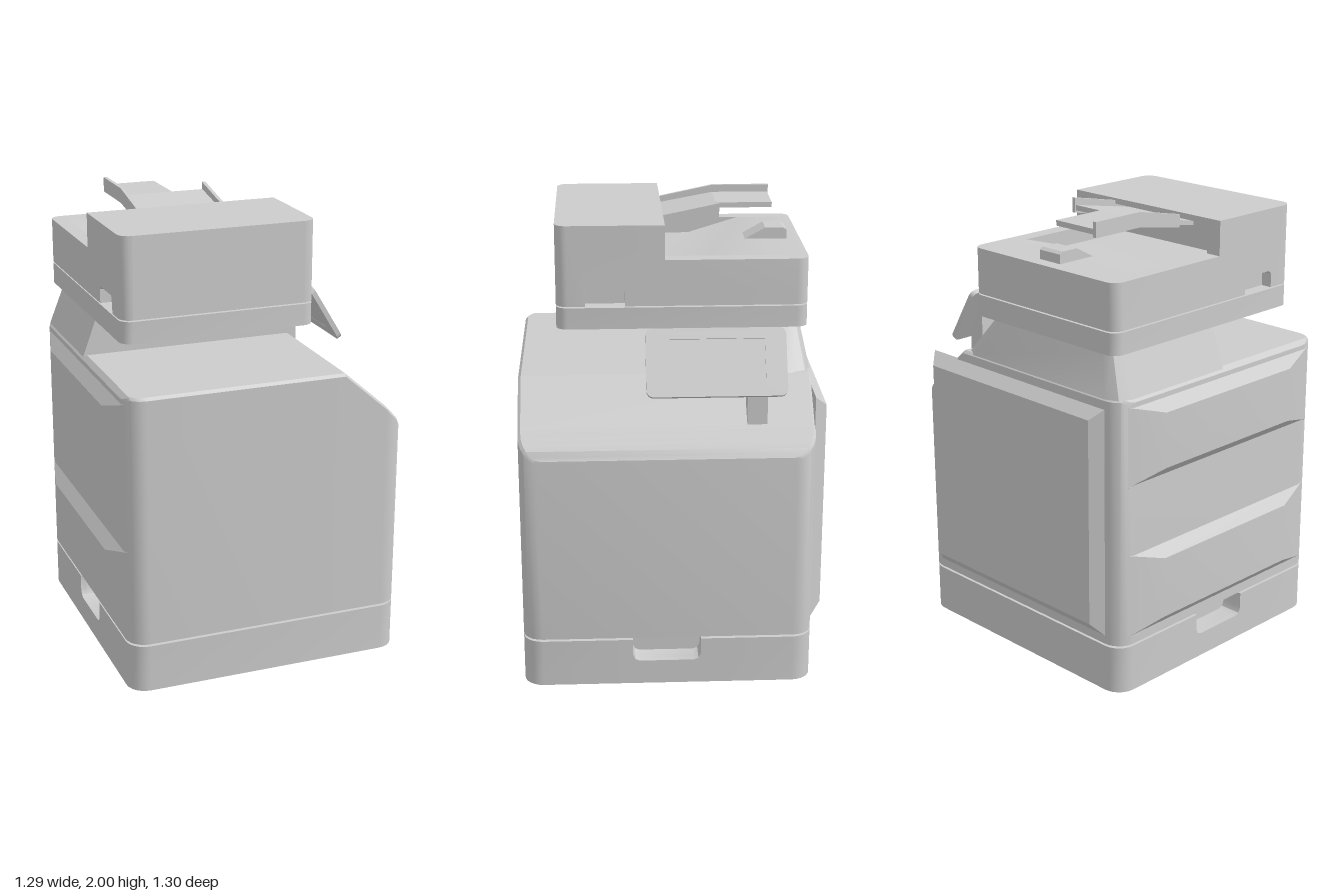
import * as THREE from 'three';
import { toCreasedNormals } from 'three/addons/utils/BufferGeometryUtils.js';

const material = new THREE.MeshStandardMaterial({ color: 0xcccccc, side: THREE.DoubleSide });

function addMesh(parent, name, geometry) {
  const mesh = new THREE.Mesh(geometry, material);
  mesh.name = name;
  parent.add(mesh);
  return mesh;
}

// Skin through cross-sections [{ t, pts }]. Axis 'x': pts are [z, y]; 'y': [x, z]; 'z': [x, y].
function loft(axis, sections, open = false) {
  const flat = sections.map(({ t, pts }) => ({
    t,
    pts: pts.map(([a, b]) => new THREE.Vector2(axis === 'x' ? -a : a, axis === 'y' ? -b : b)),
  }));
  if (THREE.ShapeUtils.area(flat[0].pts) < 0) flat.forEach((s) => s.pts.reverse());
  const n = flat[0].pts.length, pos = [], idx = [];
  flat.forEach((s) => s.pts.forEach((p) => pos.push(p.x, p.y, s.t)));
  for (let s = 0; s < flat.length - 1; s++) {
    for (let i = 0; i < (open ? n - 1 : n); i++) {
      const a = s * n + i, b = s * n + (i + 1) % n;
      idx.push(a, b, b + n, a, b + n, a + n);
    }
  }
  const last = (flat.length - 1) * n;
  THREE.ShapeUtils.triangulateShape(flat[0].pts, []).forEach(([a, b, c]) => idx.push(a, c, b));
  THREE.ShapeUtils.triangulateShape(flat[flat.length - 1].pts, [])
    .forEach(([a, b, c]) => idx.push(last + a, last + b, last + c));
  const g = new THREE.BufferGeometry();
  g.setAttribute('position', new THREE.Float32BufferAttribute(pos, 3));
  g.setIndex(idx);
  if (axis === 'x') g.rotateY(Math.PI / 2);
  if (axis === 'y') g.rotateX(-Math.PI / 2);
  return toCreasedNormals(g, 0.5);
}

const prism = (axis, pts, t0, t1) => loft(axis, [{ t: t0, pts }, { t: t1, pts }]);

// Rectangle with rounded corners as a point list
function roundRect(x0, x1, y0, y1, r, steps = 6) {
  const pts = [];
  [[x1 - r, y1 - r], [x0 + r, y1 - r], [x0 + r, y0 + r], [x1 - r, y0 + r]].forEach(([cx, cy], q) => {
    for (let i = 0; i <= steps; i++) {
      const a = (q + i / steps) * Math.PI / 2;
      pts.push([cx + r * Math.cos(a), cy + r * Math.sin(a)]);
    }
  });
  return pts;
}

const rect = (x0, x1, y0, y1) => [[x0, y0], [x1, y0], [x1, y1], [x0, y1]];

// x positions that resolve a rounded plan corner, and the inset there
const cornerSteps = (r) => [0, 1, 2, 3, 4, 5, 6].map((i) => r * (1 - Math.cos(i * Math.PI / 12)));
const inset = (e, r) => (e >= r ? 0 : r - Math.sqrt(Math.max(0, r * r - (r - e) ** 2)));

const X0 = -0.61, X1 = 0.645, Z0 = -0.605, Z1 = 0.65, R = 0.085;

function addBase(root) {
  const base = new THREE.Group();
  base.name = 'base';
  root.add(base);
  const wall = 0.025, notch = [-0.12, 0.175], jamb = 0.02;
  // front and back halves of the open frame
  const half = (front, off) => {
    const r = R - off, zEnd = front ? notch[1] + jamb : notch[0] - jamb;
    const arc = roundRect(X0 + off, X1 - off, Z0 + off, Z1 - off, r);
    const kept = front ? arc.slice(0, 14) : arc.slice(14);
    const ends = [[X1 - off, zEnd], [X0 + off, zEnd]];
    return front ? [ends[0], ...kept, ends[1]] : [ends[1], ...kept, ends[0]];
  };
  for (const front of [true, false]) {
    addMesh(base, front ? 'frontFrame' : 'backFrame',
      prism('y', [...half(front, 0), ...half(front, wall).reverse()], 0, 0.212));
  }
  // side walls with carrying grips
  const [a, b] = notch;
  const cut = (y) => [[a - jamb, y], [b + jamb, y], [b + jamb, 0.212], [b, 0.212], [b, 0.14], [b - 0.01, 0.118],
    [b - 0.03, 0.11], [a + 0.03, 0.11], [a + 0.01, 0.118], [a, 0.14], [a, 0.212], [a - jamb, 0.212]];
  for (const [edge, s] of [[X1, -1], [X0, 1]]) {
    const span = (d0, d1) => [edge + s * d0, edge + s * d1].sort((p, q) => p - q);
    addMesh(base, 'gripWall', prism('x', cut(0), ...span(0, wall)));
    addMesh(base, 'gripPocket', prism('x', cut(0.095), ...span(wall, 0.1)));
    addMesh(base, 'gripBack', prism('x', rect(a - jamb, b + jamb, 0.095, 0.212), ...span(0.1, 0.11)));
  }
}

function addBody(root) {
  // cabinet shell: sloped shoulder on the panel side
  const shoulder = [[X0, 1.31], [X0 + 0.02, 1.33], [0.355, 1.33], [0.55, 1.16], [0.62, 1.085], [X1, 1.05]];
  const topAt = (x) => {
    const i = Math.max(1, shoulder.findIndex((p) => p[0] >= x - 1e-6));
    const [p, q] = [shoulder[i - 1], shoulder[i]];
    return p[1] + (q[1] - p[1]) * (x - p[0]) / (q[0] - p[0]);
  };
  const xs = [...cornerSteps(R).map((e) => X0 + e), X0 + 0.02, 0.355, 0.55, 0.62,
    ...cornerSteps(R).map((e) => X1 - e)].sort((p, q) => p - q);
  const sections = xs.map((x) => {
    const d = inset(Math.min(x - X0, X1 - x), R), y = topAt(x), c = 0.012;
    const f = Z1 - d, k = Z0 + d;
    return { t: x, pts: [[f, 0.222], [f, y - c], [f - c, y], [k + c, y], [k, y - c], [k, 0.222]] };
  });
  addMesh(root, 'cabinet', loft('x', sections, true));

  // neck below the scanner
  const neck = (x0, x1, zb, c) => [[x0, 0.02], [x1, 0.02], [x1, zb + c], [x1 - c * 0.3, zb + c * 0.3],
    [x1 - c, zb], [x0 + c, zb], [x0 + c * 0.3, zb + c * 0.3], [x0, zb + c]];
  addMesh(root, 'neck', loft('y', [
    { t: 1.325, pts: neck(-0.608, 0.36, -0.605, 0.08) },
    { t: 1.51, pts: neck(-0.54, 0.2, -0.57, 0.06) },
  ]));

  // raised covers on the left-hand side and the back
  for (const [y0, y1] of [[0.26, 0.64], [0.945, 1.295]]) {
    addMesh(root, 'sideCover', loft('x', [
      { t: -0.65, pts: rect(-0.37, 0.42, y0 + 0.05, y1 - 0.055) },
      { t: -0.605, pts: rect(-0.55, 0.6, y0, y1) },
    ]));
  }
  addMesh(root, 'backCover', loft('z', [
    { t: -0.653, pts: rect(-0.48, 0.51, 0.315, 1.235) },
    { t: -0.6, pts: rect(-0.53, 0.56, 0.255, 1.285) },
  ]));
}

function addScanner(root) {
  const scanner = new THREE.Group();
  scanner.name = 'scanner';
  root.add(scanner);
  const x0 = -0.575, x1 = 0.28, zb = -0.595, zf = 0.485, r = 0.05, inL = -0.505, inR = 0.21;
  addMesh(scanner, 'scannerBed', prism('y', roundRect(x0, x1, zb, zf, r), 1.51, 1.604));

  // feeder cheeks, with a lifting notch on the outer face
  const outline = [[zf, 1.61], [zf, 1.96], [0.02, 1.96], [0.02, 1.81], [zb, 1.81], [zb, 1.61]];
  const notch = [[0.19, 1.61], [0.19, 1.67], [0.205, 1.685], [0.345, 1.685], [0.36, 1.67], [0.36, 1.61]];
  const section = (x, pts) => {
    const d = inset(Math.min(x - x0, x1 - x), r);
    return { t: x, pts: pts.map(([z, y]) => [Math.min(zf - d, Math.max(zb + d, z)), y]) };
  };
  for (const [edge, s, inner] of [[x0, 1, inL], [x1, -1, inR]]) {
    const order = (list) => list.map((e) => edge + s * e).sort((p, q) => p - q);
    const outer = order(cornerSteps(r));
    addMesh(scanner, 'feederCheek', loft('x', outer.map((x) => section(x, [...outline, ...notch]))));
    const mid = [edge + s * r, inner].sort((p, q) => p - q);
    addMesh(scanner, 'feederCheekInner', prism('x', outline, ...mid));
  }
  // feeder middle: sunken output bed running into the feeder mouth
  addMesh(scanner, 'feederCentre', prism('x', [[zf, 1.61], [zf, 1.96], [0.02, 1.96], [0.02, 1.935], [0.2, 1.935],
    [0.26, 1.86], [0.26, 1.74], [-0.12, 1.74], [-0.35, 1.81], [zb, 1.81], [zb, 1.61]], inL, inR));

  // paper stop on the deck
  addMesh(scanner, 'paperStop', prism('x',
    [[-0.35, 1.81], [-0.44, 1.86], [-0.52, 1.86], [-0.535, 1.85], [-0.535, 1.81]], -0.2, -0.08));

  // input tray: sloped plate, flat extension, and side rails
  const tray = new THREE.Group();
  tray.name = 'inputTray';
  scanner.add(tray);
  const slope = [[0.12, 1.885], [0.12, 1.905], [-0.22, 1.968], [-0.22, 1.945]];
  addMesh(tray, 'slopedPlate', prism('x', slope, -0.335, 0.04));
  addMesh(tray, 'flatPlate', prism('x', rect(-0.47, -0.22, 1.945, 1.968), -0.335, -0.11));
  addMesh(tray, 'longRail', prism('x',
    [[0.02, 1.893], [0.02, 1.95], [-0.22, 2], [-0.475, 2], [-0.475, 1.935], [-0.22, 1.935]], -0.348, -0.332));
  addMesh(tray, 'shortRail', prism('x',
    [[0.02, 1.893], [0.02, 1.95], [-0.225, 2], [-0.225, 1.935]], 0.035, 0.051));
}

function addControlPanel(root) {
  const panel = new THREE.Group();
  panel.name = 'controlPanel';
  panel.position.set(0.508, 1.428, -0.185);
  panel.rotation.set(-0.546, Math.PI / 2, 0, 'YXZ');
  root.add(panel);
  // bezel with an inset screen
  const toPoints = (pts) => pts.map(([x, y]) => new THREE.Vector2(x, y));
  const frame = new THREE.Shape(toPoints(roundRect(-0.295, 0.295, -0.147, 0.147, 0.03)));
  frame.holes.push(new THREE.Path(toPoints(rect(-0.205, 0.205, -0.1, 0.1))));
  const bezel = new THREE.ExtrudeGeometry(frame, { depth: 0.022, bevelEnabled: false });
  addMesh(panel, 'bezel', toCreasedNormals(bezel.translate(0, 0, -0.011), 0.5));
  addMesh(panel, 'screen', new THREE.BoxGeometry(0.41, 0.2, 0.014).translate(0, 0, -0.003));
  // bracket standing on the shoulder
  addMesh(root, 'panelBracket', prism('z',
    [[0.465, 1.22], [0.545, 1.15], [0.545, 1.36], [0.465, 1.49]], -0.4, -0.315));
}

export function createModel() {
  const root = new THREE.Group();
  root.name = 'officeCopier';
  addBase(root);
  addBody(root);
  addScanner(root);
  addControlPanel(root);
  return root;
}
